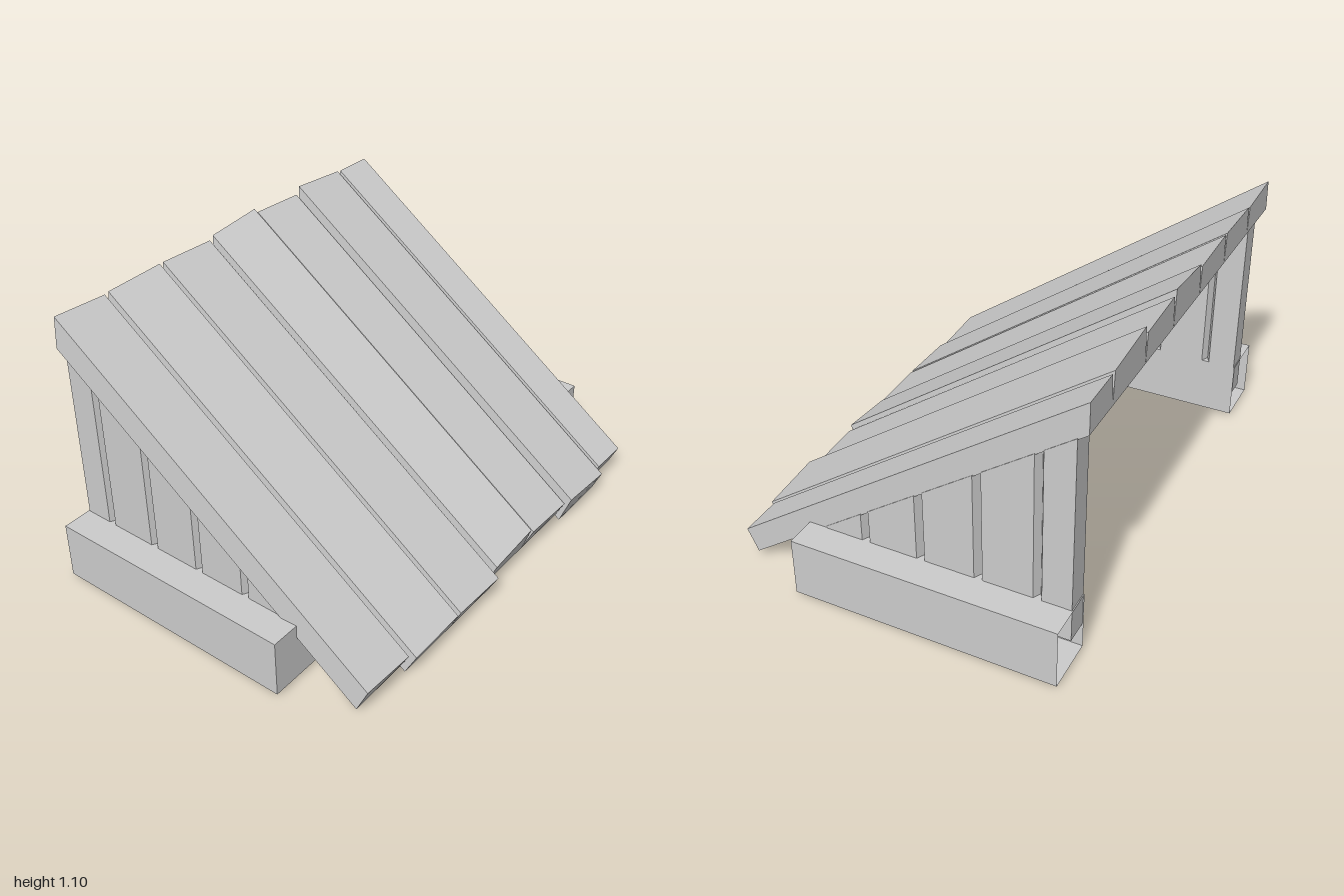
import * as THREE from 'three';

const SLOPE = 0.712;
const underside = (z) => 0.47 - SLOPE * z; // height of the roof's lower face

export function createModel() {
  const group = new THREE.Group();
  const grey = new THREE.MeshStandardMaterial({ color: 0xcccccc, flatShading: true });
  const thin = new THREE.MeshStandardMaterial({ color: 0xcccccc, flatShading: true, side: THREE.DoubleSide });

  const add = (parent, name, geometry, material) => {
    const mesh = new THREE.Mesh(geometry, material);
    mesh.name = name;
    parent.add(mesh);
    return mesh;
  };

  // Sloping roof planks: left and right edge, rear top heights, lower front z
  const roof = new THREE.Group();
  roof.name = 'roof';
  group.add(roof);
  const planks = [
    [-0.89, -0.638, 1.085, 1.07, 0.63],
    [-0.638, -0.362, 1.075, 1.08, 0.65],
    [-0.362, -0.092, 1.08, 1.07, 0.65],
    [-0.092, 0.17, 1.085, 1.106, 0.63],
    [0.17, 0.428, 1.086, 1.075, 0.63],
    [0.428, 0.702, 1.106, 1.085, 0.65],
    [0.702, 0.88, 1.082, 1.08, 0.625],
  ];
  planks.forEach(([x0, x1, h0, h1, front], i) => {
    const geo = new THREE.BoxGeometry(2, 2, 2);
    const p = geo.attributes.position;
    const last = i === planks.length - 1;
    for (let k = 0; k < p.count; k++) {
      const right = p.getX(k) > 0, top = p.getY(k) > 0, fore = p.getZ(k) > 0;
      // the upper edges are drawn in, leaving a narrow V between planks
      const inset = top && !(last && right) ? 0.009 : 0;
      const z = fore ? front + (top ? 0.042 : 0) : -0.69;
      const y = top ? (right ? h1 : h0) - SLOPE * (z + 0.69) : underside(z);
      p.setXYZ(k, right ? x1 - inset : x0 + inset, y, z);
    }
    geo.computeVertexNormals();
    add(roof, 'roofPlank' + (i + 1), geo, grey);
  });

  // Side walls with vertical V grooves, cut to the slope of the roof
  const grooves = [0.137, -0.083, -0.306, -0.527];
  for (const side of [1, -1]) {
    const inner = 0.79, outer = 0.882, back = -0.653, fore = 0.3, cut = 0.03, half = 0.016;
    const pts = [[outer, fore]];
    for (const z of grooves) pts.push([outer, z + half], [outer - cut, z], [outer, z - half]);
    pts.push([outer, back], [inner, back]);
    for (const z of [...grooves].reverse()) pts.push([inner, z - half], [inner + cut, z], [inner, z + half]);
    pts.push([inner, fore]);
    const shape = new THREE.Shape(pts.map(([x, z]) => new THREE.Vector2(side * x, -z)));
    const geo = new THREE.ExtrudeGeometry(shape, { depth: 1, bevelEnabled: false });
    geo.rotateX(-Math.PI / 2);
    const p = geo.attributes.position;
    for (let k = 0; k < p.count; k++) {
      p.setY(k, p.getY(k) > 0.5 ? underside(p.getZ(k)) + 0.005 : 0.12);
    }
    geo.computeVertexNormals();
    add(group, side > 0 ? 'leftWall' : 'rightWall', geo, grey);
  }

  // Hollow U-shaped base whose two arms are open at the back
  const base = new THREE.Group();
  base.name = 'base';
  group.add(base);
  const low = 0.02, high = 0.253;
  const outline = [
    [1, -0.657], [1, 0.373], [-1, 0.373], [-1, -0.657],
    [-0.79, -0.657], [-0.79, 0.115], [0.79, 0.115], [0.79, -0.657],
  ];
  const plan = new THREE.Shape(outline.map(([x, z]) => new THREE.Vector2(x, -z)));
  for (const [name, y] of [['baseTop', high], ['baseBottom', low]]) {
    const geo = new THREE.ShapeGeometry(plan);
    geo.rotateX(y === high ? -Math.PI / 2 : Math.PI / 2);
    if (y === low) geo.scale(1, 1, -1), geo.index.array.reverse(), geo.computeVertexNormals();
    add(base, name, geo, thin).position.y = y;
  }
  outline.forEach(([x0, z0], i) => {
    if (i === 3 || i === 7) return; // open arm ends
    const [x1, z1] = outline[i + 1];
    const geo = new THREE.PlaneGeometry(Math.hypot(x1 - x0, z1 - z0), high - low);
    geo.rotateY(Math.atan2(z1 - z0, x0 - x1));
    add(base, 'baseSide', geo, thin).position.set((x0 + x1) / 2, (low + high) / 2, (z0 + z1) / 2);
  });

  return group;
}
